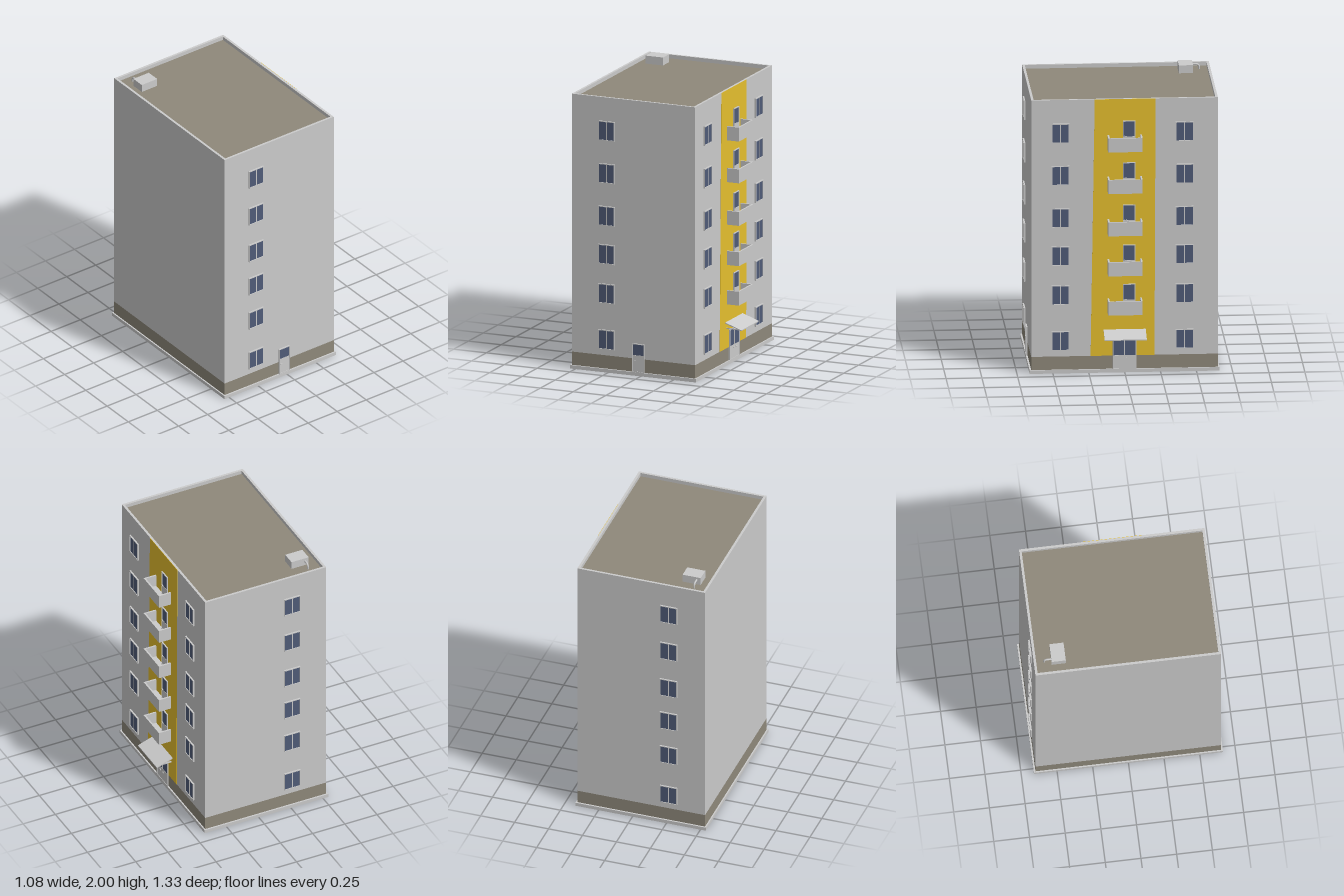
import * as THREE from 'three';

const mat = (color) => new THREE.MeshStandardMaterial({ color });
const grey = mat(0xcccccc), yellow = mat(0xe5bf2e), stone = mat(0x8f897b), glass = mat(0x505c78);

// Box given by its min and max on each axis
function box(parent, name, material, [x0, x1], [y0, y1], [z0, z1]) {
  const m = new THREE.Mesh(new THREE.BoxGeometry(x1 - x0, y1 - y0, z1 - z0), material);
  m.position.set((x0 + x1) / 2, (y0 + y1) / 2, (z0 + z1) / 2);
  m.name = name;
  parent.add(m);
  return m;
}

function polygon(points) {
  return new THREE.Shape(points.map(([x, y]) => new THREE.Vector2(x, y)));
}

function extrude(parent, name, material, shape, depth) {
  const m = new THREE.Mesh(new THREE.ExtrudeGeometry(shape, { depth, bevelEnabled: false }), material);
  m.name = name;
  parent.add(m);
  return m;
}

// Rectangular frame standing out of a wall, with an opening
function frame(parent, name, [x0, x1], [y0, y1], t, depth) {
  const s = polygon([[x0, y0], [x1, y0], [x1, y1], [x0, y1]]);
  s.holes.push(polygon([[x0 + t, y0 + t], [x0 + t, y1 - t], [x1 - t, y1 - t], [x1 - t, y0 + t]]));
  return extrude(parent, name, grey, s, depth);
}

// Two-pane window: local x across the wall, z outwards
function addWindow(wall, x, y) {
  const g = new THREE.Group();
  g.name = 'window';
  g.position.set(x, y, 0);
  frame(g, 'windowFrame', [-0.063, 0.063], [-0.07, 0.07], 0.006, 0.011);
  box(g, 'windowGlass', glass, [-0.058, 0.058], [-0.065, 0.065], [0, 0.006]);
  box(g, 'windowMullion', grey, [-0.003, 0.003], [-0.065, 0.065], [0, 0.009]);
  wall.add(g);
}

// Door with glass above a solid panel, one or two leaves
function addDoor(wall, name, [x0, x1], [y0, y1], sill, leaves) {
  const g = new THREE.Group();
  g.name = name;
  frame(g, 'doorFrame', [x0, x1], [y0, y1], 0.005, 0.011);
  box(g, 'doorPanel', grey, [x0 + 0.004, x1 - 0.004], [y0, sill], [0, 0.008]);
  box(g, 'doorGlass', glass, [x0 + 0.004, x1 - 0.004], [sill, y1 - 0.004], [0, 0.006]);
  const mid = (x0 + x1) / 2;
  if (leaves === 2) box(g, 'doorPost', grey, [mid - 0.003, mid + 0.003], [y0, y1], [0, 0.009]);
  const handles = leaves === 2 ? [mid - 0.02, mid + 0.02] : [x0 + 0.02];
  for (const h of handles) {
    box(g, 'doorHandle', grey, [h - 0.009, h + 0.009], [y0 + 0.078, y0 + 0.083], [0.012, 0.016]);
    box(g, 'handleStem', grey, [h - 0.009, h - 0.005], [y0 + 0.078, y0 + 0.083], [0.007, 0.013]);
  }
  wall.add(g);
}

// Open-topped balcony, floor at y
function addBalcony(wall, y) {
  const g = new THREE.Group();
  g.name = 'balcony';
  g.position.y = y;
  box(g, 'balconyFloor', grey, [-0.12, 0.12], [0, 0.012], [0, 0.095]);
  box(g, 'balconyFront', grey, [-0.12, 0.12], [0.012, 0.1], [0.083, 0.095]);
  for (const s of [-1, 1]) {
    const side = s < 0 ? [-0.12, -0.108] : [0.108, 0.12];
    box(g, 'balconySide', grey, side, [0.012, 0.1], [0, 0.083]);
  }
  wall.add(g);
}

// Sloping canopy plate carried by a bar at each end
function addCanopy(wall) {
  const g = new THREE.Group();
  g.name = 'canopy';
  const profile = polygon([[0, 0.302], [0.125, 0.26], [0.125, 0.267], [0, 0.31]]);
  const plate = extrude(g, 'canopyPlate', grey, profile, 0.294);
  plate.rotation.y = -Math.PI / 2;
  plate.position.x = 0.147;
  for (const x of [-0.125, 0.125]) {
    box(g, 'canopyBar', grey, [x - 0.004, x + 0.004], [0.259, 0.267], [0, 0.122]);
  }
  wall.add(g);
}

export function createModel() {
  const model = new THREE.Group();
  model.name = 'apartmentBlock';
  const X = [-0.53, 0.41], Z = [-0.65, 0.65];

  // Body, plinth and roof
  box(model, 'baseSlab', grey, [-0.54, 0.42], [0, 0.025], [-0.662, 0.662]);
  box(model, 'plinth', stone, X, [0.025, 0.12], Z);
  box(model, 'walls', grey, X, [0.12, 1.938], Z);
  box(model, 'roof', stone, [-0.514, 0.394], [1.93, 1.943], [-0.634, 0.634]);
  const parapet = frame(model, 'parapet', X, Z, 0.017, 0.032);
  parapet.rotation.x = -Math.PI / 2;
  parapet.position.y = 1.938;

  // Roof vent with an elbow pipe
  const vent = new THREE.Group();
  vent.name = 'roofVent';
  box(vent, 'ventBox', grey, [-0.455, -0.322], [1.943, 2], [-0.527, -0.428]);
  const pipePath = new THREE.CatmullRomCurve3([
    [-0.425, 1.978, -0.52], [-0.425, 1.978, -0.56], [-0.425, 1.97, -0.574], [-0.425, 1.94, -0.576],
  ].map((p) => new THREE.Vector3(...p)));
  const pipe = new THREE.Mesh(new THREE.TubeGeometry(pipePath, 10, 0.007, 8), grey);
  pipe.name = 'ventPipe';
  vent.add(pipe);
  model.add(vent);

  // Walls carrying openings
  const makeWall = (name, x, z, turn) => {
    const g = new THREE.Group();
    g.name = name;
    g.position.set(x, 0, z);
    g.rotation.y = turn;
    model.add(g);
    return g;
  };
  const front = makeWall('frontWall', 0, Z[1], 0);
  const back = makeWall('backWall', 0, Z[0], Math.PI);
  const side = makeWall('balconyWall', X[1], 0, Math.PI / 2);

  for (const y of [0.233, 0.563, 0.845, 1.12, 1.425, 1.73]) {
    addWindow(front, -0.263, y);
    addWindow(back, 0.263, y);
    addWindow(side, -0.447, y);
    addWindow(side, 0.418, y);
  }
  addDoor(front, 'frontDoor', [-0.067, 0.025], [0.025, 0.228], 0.146, 1);

  // Painted strip, balconies and entrance
  extrude(side, 'yellowStrip', yellow,
    polygon([[-0.237, 0.12], [0.208, 0.12], [0.216, 1.97], [-0.208, 1.97]]), 0.002);
  for (const y of [0.434, 0.717, 1.006, 1.311, 1.611]) {
    addBalcony(side, y);
    addDoor(side, 'balconyDoor', [-0.012, 0.074], [y + 0.012, y + 0.202], y + 0.09, 1);
  }
  addDoor(side, 'entranceDoor', [-0.083, 0.081], [0.025, 0.243], 0.123, 2);
  addCanopy(side);
  return model;
}
